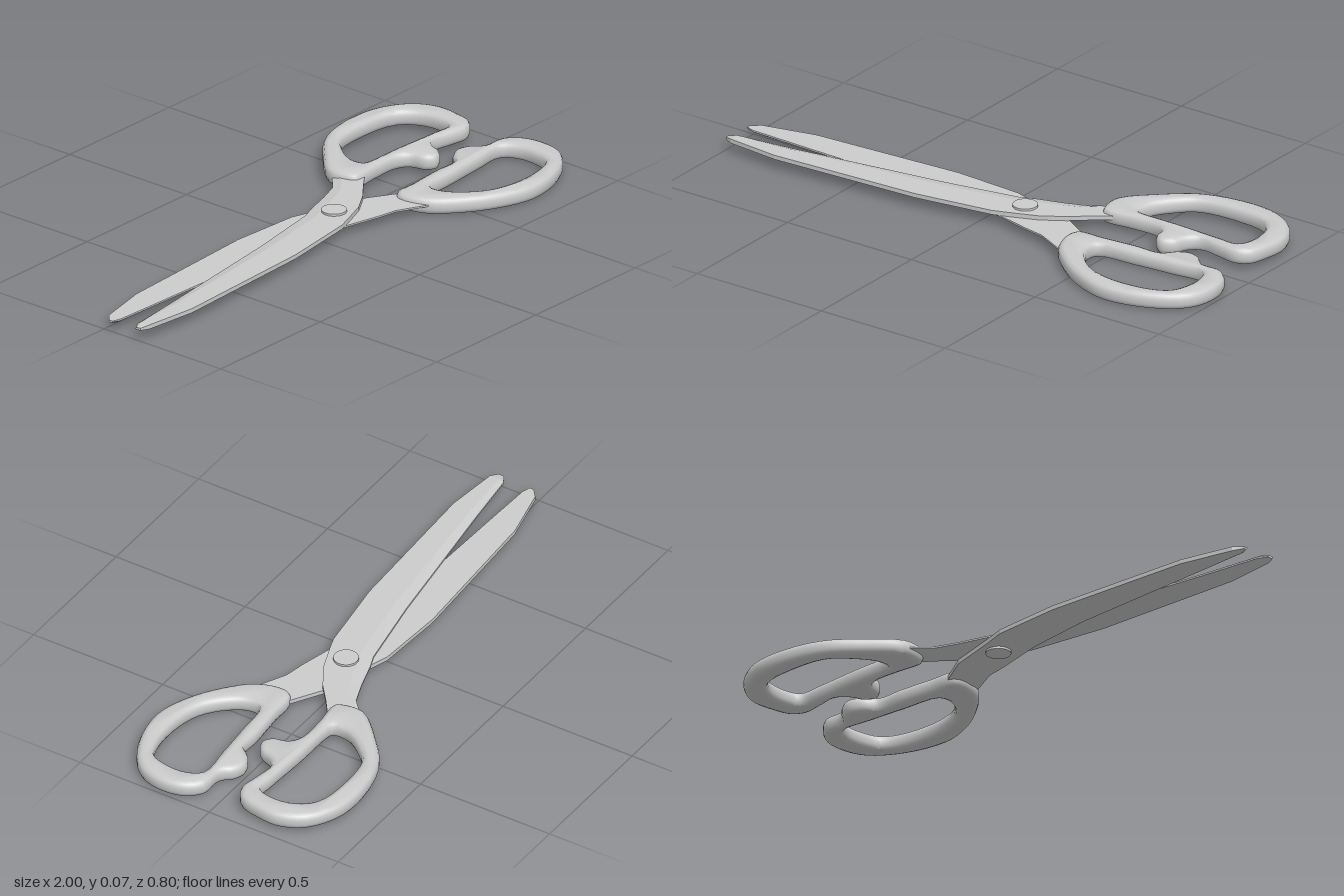
import * as THREE from 'three';
import { toCreasedNormals } from 'three/addons/utils/BufferGeometryUtils.js';

const material = new THREE.MeshStandardMaterial({ color: 0xcccccc });
const MID = 0.038; // plane where the two blades meet

function part(name, geometry, crease = 0.6) {
  const mesh = new THREE.Mesh(toCreasedNormals(geometry, crease), material);
  mesh.name = name;
  return mesh;
}

// Blade lofted along x from stations [x, spine z, cutting edge z].
// side is +1 for the upper blade, -1 for the lower one.
function blade(name, stations, side) {
  const pos = [], index = [], n = 5;
  stations.forEach(([x, back, edge], i) => {
    const t = i === 0 ? 0.008 : 0.015; // thinner at the tip
    const ridge = edge + (back - edge) * 0.28;
    const section = [[0, back], [t, back], [t, ridge], [t * 0.4, edge], [0, edge]];
    for (const [h, z] of section) pos.push(x, MID + side * h, z);
  });
  for (let i = 0; i < stations.length - 1; i++) {
    for (let j = 0; j < n; j++) {
      const a = i * n + j, b = i * n + (j + 1) % n;
      index.push(a, a + n, b + n, a, b + n, b);
    }
  }
  // end caps
  const last = (stations.length - 1) * n;
  for (let j = 1; j < n - 1; j++) {
    index.push(0, j, j + 1, last, last + j + 1, last + j);
  }
  const geo = new THREE.BufferGeometry();
  geo.setAttribute('position', new THREE.Float32BufferAttribute(pos, 3));
  geo.setIndex(index);
  return part(name, geo, 0.15);
}

// Smooth closed outline through [x, z] points
function outline(points, count) {
  const curve = new THREE.CatmullRomCurve3(
    points.map(([x, z]) => new THREE.Vector3(x, -z, 0)), true, 'centripetal');
  return curve.getPoints(count).slice(0, -1).map(p => new THREE.Vector2(p.x, p.y));
}

// Rounded finger loop, lying flat with its underside at y
function handle(name, outer, inner, y) {
  const shape = new THREE.Shape(outline(outer, 72));
  // the hole runs against the outline so its walls face inward
  shape.holes.push(new THREE.Path(outline(inner, 48).reverse()));
  const bevel = 0.018;
  const geo = new THREE.ExtrudeGeometry(shape, {
    depth: 0.056 - 2 * bevel, bevelThickness: bevel, bevelSize: bevel,
    bevelOffset: -bevel, bevelSegments: 2,
  });
  geo.rotateX(-Math.PI / 2);
  geo.translate(0, y + bevel, 0);
  return part(name, geo, 0.8);
}

export function createModel() {
  const model = new THREE.Group();
  model.name = 'scissors';

  // Blades with their shanks running into the handles
  model.add(blade('upperBlade', [
    [-1, 0.155, 0.135], [-0.97, 0.17, 0.119], [-0.78, 0.19, 0.096], [-0.23, 0.165, 0.02],
    [0.05, 0.125, -0.03], [0.1, 0.108, -0.05], [0.2, 0.07, -0.08], [0.28, 0.02, -0.11],
    [0.34, -0.03, -0.165], [0.42, -0.09, -0.2],
  ], 1));
  model.add(blade('lowerBlade', [
    [-1, 0.02, 0.036], [-0.97, -0.005, 0.045], [-0.78, -0.048, 0.052], [-0.23, -0.08, 0.07],
    [0.02, -0.065, 0.1], [0.1, -0.04, 0.12], [0.2, -0.012, 0.145], [0.28, 0.01, 0.16],
    [0.38, 0.07, 0.21], [0.44, 0.11, 0.23],
  ], -1));

  // Finger loops, each with a stop bump on its inner side
  model.add(handle('upperHandle', [
    [0.34, -0.18], [0.43, -0.28], [0.54, -0.365], [0.7, -0.402], [0.83, -0.388], [0.93, -0.325],
    [0.97, -0.24], [0.965, -0.16], [0.945, -0.09], [0.9, -0.06], [0.83, -0.068], [0.75, -0.078],
    [0.715, -0.05], [0.695, -0.005], [0.655, 0.018], [0.62, -0.005], [0.605, -0.055],
    [0.565, -0.08], [0.46, -0.08], [0.36, -0.075], [0.34, -0.11],
  ], [
    [0.46, -0.135], [0.46, -0.19], [0.51, -0.265], [0.57, -0.315], [0.71, -0.33], [0.83, -0.31],
    [0.88, -0.25], [0.89, -0.17], [0.87, -0.117], [0.8, -0.117], [0.62, -0.126], [0.48, -0.128],
  ], 0.015));
  model.add(handle('lowerHandle', [
    [0.36, 0.11], [0.38, 0.08], [0.47, 0.075], [0.6, 0.064], [0.69, 0.062], [0.725, 0.025],
    [0.77, 0.005], [0.815, 0.02], [0.85, 0.054], [0.93, 0.06], [0.98, 0.11], [0.995, 0.2],
    [0.965, 0.29], [0.86, 0.365], [0.7, 0.398], [0.57, 0.36], [0.46, 0.29], [0.38, 0.205],
  ], [
    [0.485, 0.135], [0.62, 0.118], [0.76, 0.106], [0.88, 0.1], [0.91, 0.15], [0.912, 0.21],
    [0.89, 0.28], [0.83, 0.313], [0.7, 0.325], [0.59, 0.3], [0.515, 0.24], [0.48, 0.18],
  ], 0));

  // Pivot screw through both blades
  const screw = new THREE.CylinderGeometry(0.042, 0.042, 0.045, 24);
  screw.translate(0.12, MID, 0.032);
  model.add(part('pivotScrew', screw));

  return model;
}
